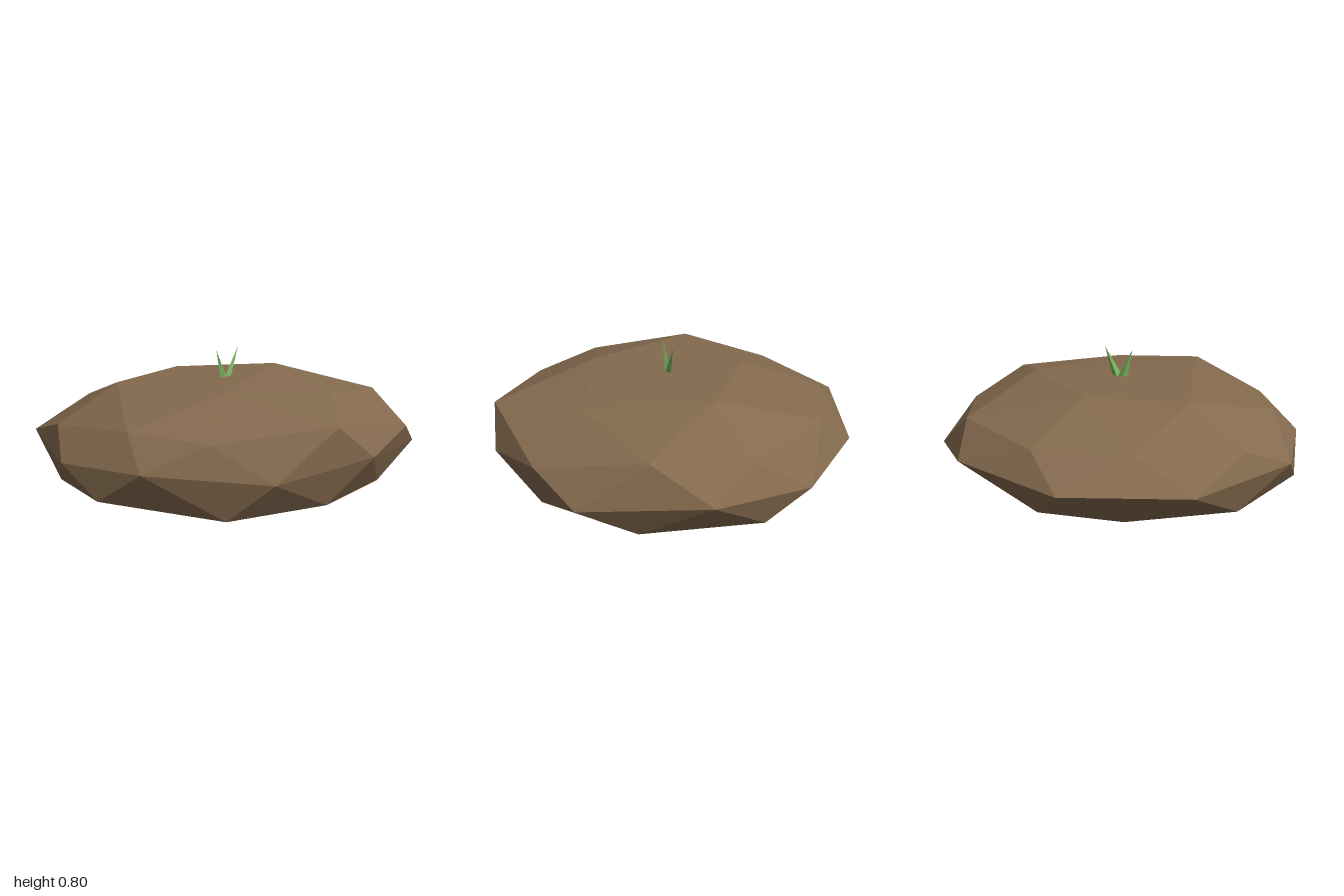
import * as THREE from 'three';
import { ConvexGeometry } from 'three/addons/geometries/ConvexGeometry.js';

const soil = new THREE.MeshStandardMaterial({ color: 0x846a4e, flatShading: true });
soil.name = 'brownStone';
const green = new THREE.MeshStandardMaterial({ color: 0x78b45e, flatShading: true });
green.name = 'grassGreen';

// Corner rings of the boulder, from its flat top to its underside
const rings = {
  top: [[0, .638, .04], [.48, .645, .03], [.09, .637, -.37], [-.45, .635, -.32], [-.34, .64, .31], [.16, .6, .61]],
  shoulder: [
    [.73, .525, .53], [.84, .465, .03], [.69, .51, -.47], [.24, .48, -.78], [-.25, .49, -.73],
    [-.75, .445, -.46], [-.82, .5, .09], [-.7, .475, .49], [-.26, .54, .92], [.34, .44, .955],
  ],
  rim: [
    [.6, .3, .86], [.94, .33, .3], [.92, .29, -.26], [.66, .35, -.68], [.05, .345, -1],
    [-.57, .33, -.83], [-.95, .32, -.23], [-.93, .34, .27], [-.57, .3, .78], [-.06, .365, 1],
  ],
  lower: [
    [.68, .14, .57], [.88, .14, -.02], [.23, .14, -.73], [-.72, .14, -.48],
    [-.95, .17, .01], [-.67, .11, .57], [-.24, .14, .85], [.21, .165, .87],
  ],
  bottom: [[-.06, 0, 0], [.48, .02, -.32], [-.15, .03, -.5], [-.5, .065, 0], [-.15, .05, .53], [.38, .05, .42]],
};

// Four-sided tapering blade leaning from base to tip
function blade(base, tip) {
  const a = new THREE.Vector3(...base), b = new THREE.Vector3(...tip);
  const dir = b.clone().sub(a);
  const geo = new THREE.ConeGeometry(.028, dir.length(), 4, 1);
  geo.scale(1, 1, .7);
  const mesh = new THREE.Mesh(geo, green);
  mesh.name = 'grassBlade';
  mesh.position.copy(a).add(b).multiplyScalar(.5);
  mesh.quaternion.setFromUnitVectors(new THREE.Vector3(0, 1, 0), dir.normalize());
  return mesh;
}

export function createModel() {
  const model = new THREE.Group();
  model.name = 'boulderWithGrass';

  const points = Object.values(rings).flat().map(p => new THREE.Vector3(...p));
  const boulder = new THREE.Mesh(new ConvexGeometry(points), soil);
  boulder.name = 'boulder';
  model.add(boulder);

  const tuft = new THREE.Group();
  tuft.name = 'grassTuft';
  tuft.add(blade([-.003, .62, .04], [-.062, .79, .035]), blade([.015, .62, .047], [.096, .796, .06]));
  model.add(tuft);
  return model;
}
